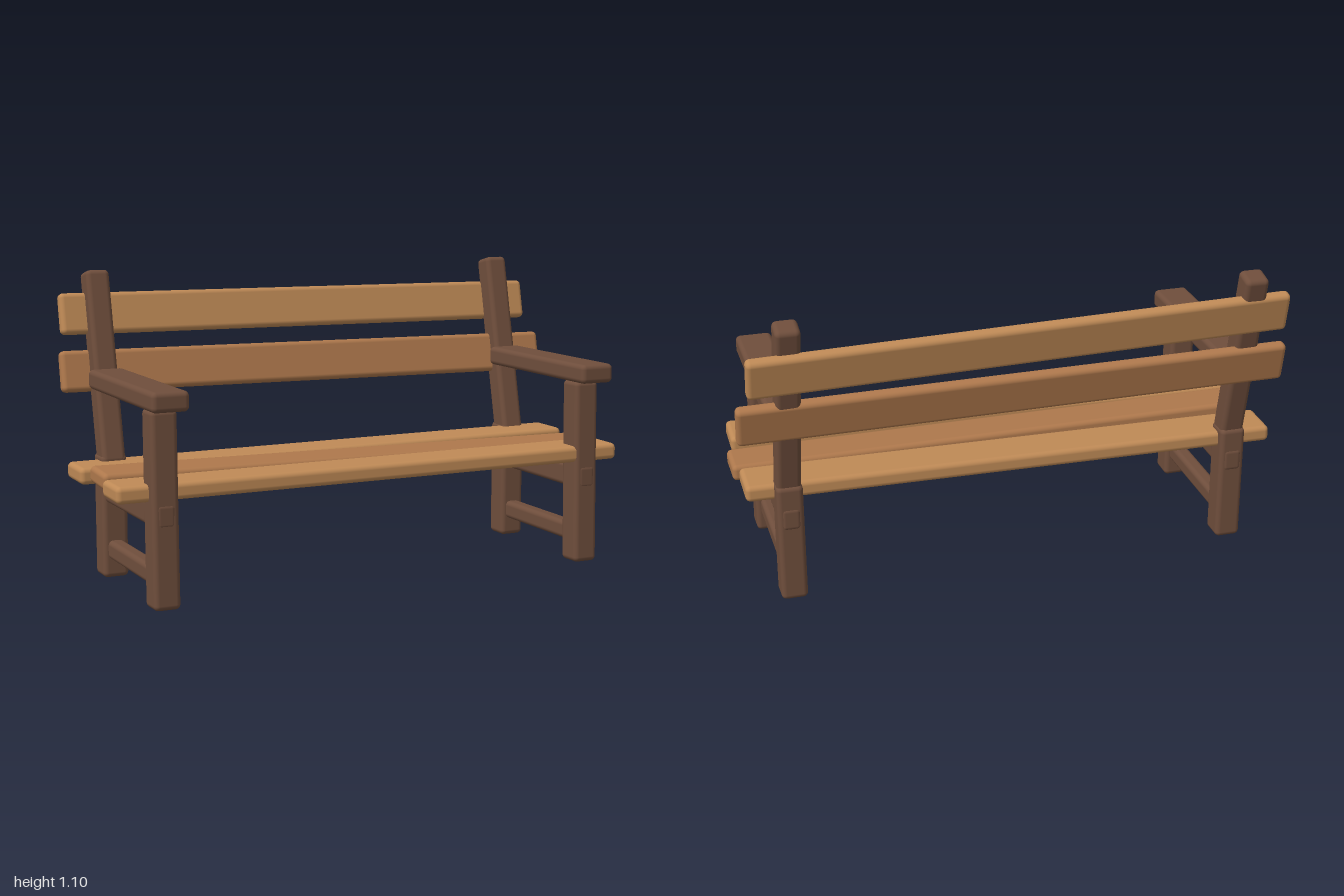
import * as THREE from 'three';
import { RoundedBoxGeometry } from 'three/addons/geometries/RoundedBoxGeometry.js';

const material = (color) => new THREE.MeshStandardMaterial({ color });

// Rounded timber: size and centre as [x, y, z]; rotation applied about x, then y, then z
function timber(parent, name, mat, size, centre, rotation = [0, 0, 0], radius = 0.018) {
  const mesh = new THREE.Mesh(new RoundedBoxGeometry(...size, 3, radius), mat);
  mesh.name = name;
  mesh.position.set(...centre);
  mesh.rotation.set(...rotation, 'ZYX');
  parent.add(mesh);
  return mesh;
}

export function createModel() {
  const bench = new THREE.Group();
  bench.name = 'bench';
  const dark = material(0x6f4e3c);
  const light = material(0xbf8a56);
  const mid = material(0xae784c);
  const lean = -0.222;

  // End frames: legs, leaning back post, armrest and two rails
  for (const [side, x] of [['right', -0.838], ['left', 0.818]]) {
    const frame = new THREE.Group();
    frame.name = side + 'Frame';
    frame.position.x = x;
    bench.add(frame);
    timber(frame, 'frontLeg', dark, [0.095, 0.68, 0.1], [0, 0.343, 0.306], [-0.018, 0, 0]);
    timber(frame, 'rearLeg', dark, [0.095, 0.448, 0.1], [0, 0.227, -0.223]);
    timber(frame, 'backPost', dark, [0.087, 0.7, 0.088], [0, 0.754, -0.289], [lean, 0, 0]);
    timber(frame, 'armrest', dark, [0.133, 0.07, 0.68], [0, 0.718, 0.079]);
    timber(frame, 'seatRail', dark, [0.075, 0.09, 0.634], [0, 0.325, 0.041]);
    timber(frame, 'lowerRail', dark, [0.06, 0.068, 0.5], [0, 0.106, 0.04]);
  }

  // Seat planks, each laid slightly askew
  timber(bench, 'frontSeatPlank', light, [1.948, 0.06, 0.168], [-0.021, 0.406, 0.25], [0, -0.019, 0.007]);
  timber(bench, 'middleSeatPlank', mid, [1.956, 0.06, 0.168], [0.002, 0.405, 0.05], [0.04, -0.012, -0.008]);
  timber(bench, 'rearSeatPlank', light, [1.96, 0.06, 0.17], [-0.016, 0.406, -0.147], [0, -0.012, 0.007]);

  // Backrest slats, leaning with the posts
  timber(bench, 'upperBackSlat', light, [1.94, 0.15, 0.048], [-0.006, 0.935, -0.368], [lean, 0.014, -0.0103]);
  timber(bench, 'lowerBackSlat', mid, [1.982, 0.15, 0.048], [0.005, 0.731, -0.315], [lean, -0.012, -0.009]);

  return bench;
}
